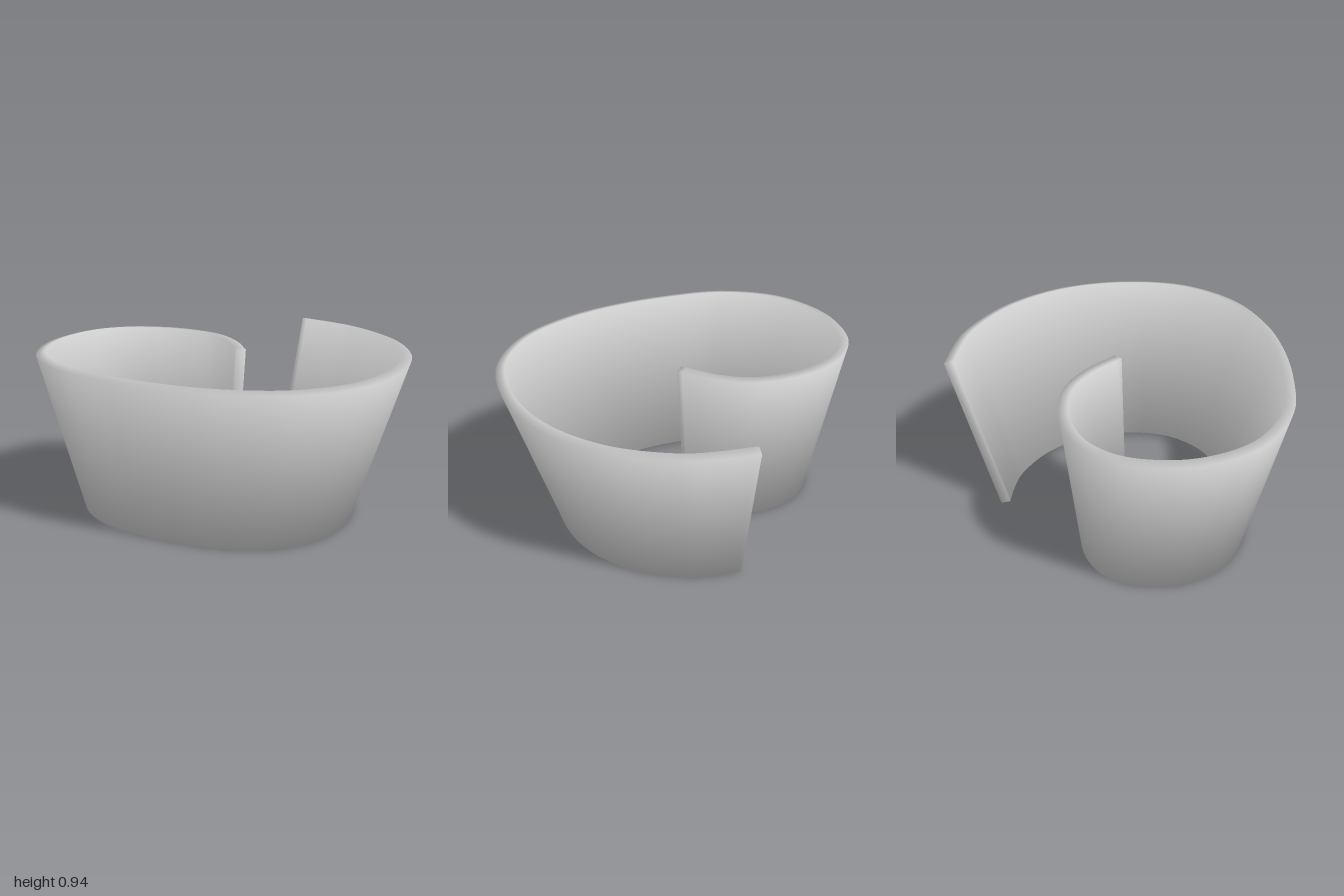
import * as THREE from 'three';

// Outer rim of the spiral wall as [x, z], from the back end round to the curled inner end
const RIM = [
  [-0.42, -0.93], [-0.21, -0.98], [-0.015, -1], [0.37, -0.92], [0.70, -0.70], [0.92, -0.37],
  [1, 0], [0.90, 0.35], [0.67, 0.61], [0.42, 0.775], [0.09, 0.915], [-0.28, 0.998],
  [-0.64, 0.92], [-0.90, 0.67], [-1, 0.34], [-0.945, 0.11], [-0.81, -0.05], [-0.64, -0.155],
  [-0.42, -0.21], [-0.21, -0.175], [-0.005, -0.08],
];
const HEIGHT = 0.927;
const THICKNESS = 0.055;
const FOOT_SCALE = 0.745;
const FOOT_CENTRE = new THREE.Vector3(-0.176, 0, 0.08);
const STEPS = 200;

// Four-cornered wall section swept along the rim; the foot is the rim shrunk about one point
function spiralWallGeometry() {
  const curve = new THREE.CatmullRomCurve3(RIM.map(([x, z]) => new THREE.Vector3(x, HEIGHT, z)));
  const positions = [], normals = [], indices = [];

  for (let i = 0; i <= STEPS; i++) {
    const top = curve.getPointAt(i / STEPS);
    const tangent = curve.getTangentAt(i / STEPS);
    const foot = top.clone().sub(FOOT_CENTRE).multiplyScalar(FOOT_SCALE).add(FOOT_CENTRE).setY(0);
    const inward = tangent.clone().cross(top.clone().sub(foot)).normalize();
    const upward = inward.clone().cross(tangent).normalize();
    const capSide = i === 0 ? -1 : i === STEPS ? 1 : 0;

    // Corners: outer top, inner top, inner foot, outer foot, with softened edges
    [[top, 0, 1], [top, 1, 1], [foot, 1, -1], [foot, 0, -1]].forEach(([base, inner, up]) => {
      const p = base.clone().addScaledVector(inward, inner * THICKNESS);
      const n = upward.clone().multiplyScalar(up)
        .addScaledVector(inward, inner ? 1 : -1)
        .addScaledVector(tangent, capSide).normalize();
      positions.push(p.x, p.y, p.z);
      normals.push(n.x, n.y, n.z);
    });

    if (i === STEPS) continue;
    for (let k = 0; k < 4; k++) {
      const a = i * 4 + k, b = i * 4 + (k + 1) % 4;
      indices.push(a, b, b + 4, a, b + 4, a + 4);
    }
  }

  // End caps
  const e = STEPS * 4;
  indices.push(0, 2, 1, 0, 3, 2, e, e + 1, e + 2, e, e + 2, e + 3);

  const geometry = new THREE.BufferGeometry();
  geometry.setAttribute('position', new THREE.Float32BufferAttribute(positions, 3));
  geometry.setAttribute('normal', new THREE.Float32BufferAttribute(normals, 3));
  geometry.setIndex(indices);
  return geometry;
}

export function createModel() {
  const group = new THREE.Group();
  group.name = 'spiralBowl';
  const wall = new THREE.Mesh(
    spiralWallGeometry(),
    new THREE.MeshStandardMaterial({ color: 0xcccccc })
  );
  wall.name = 'spiralWall';
  group.add(wall);
  return group;
}
